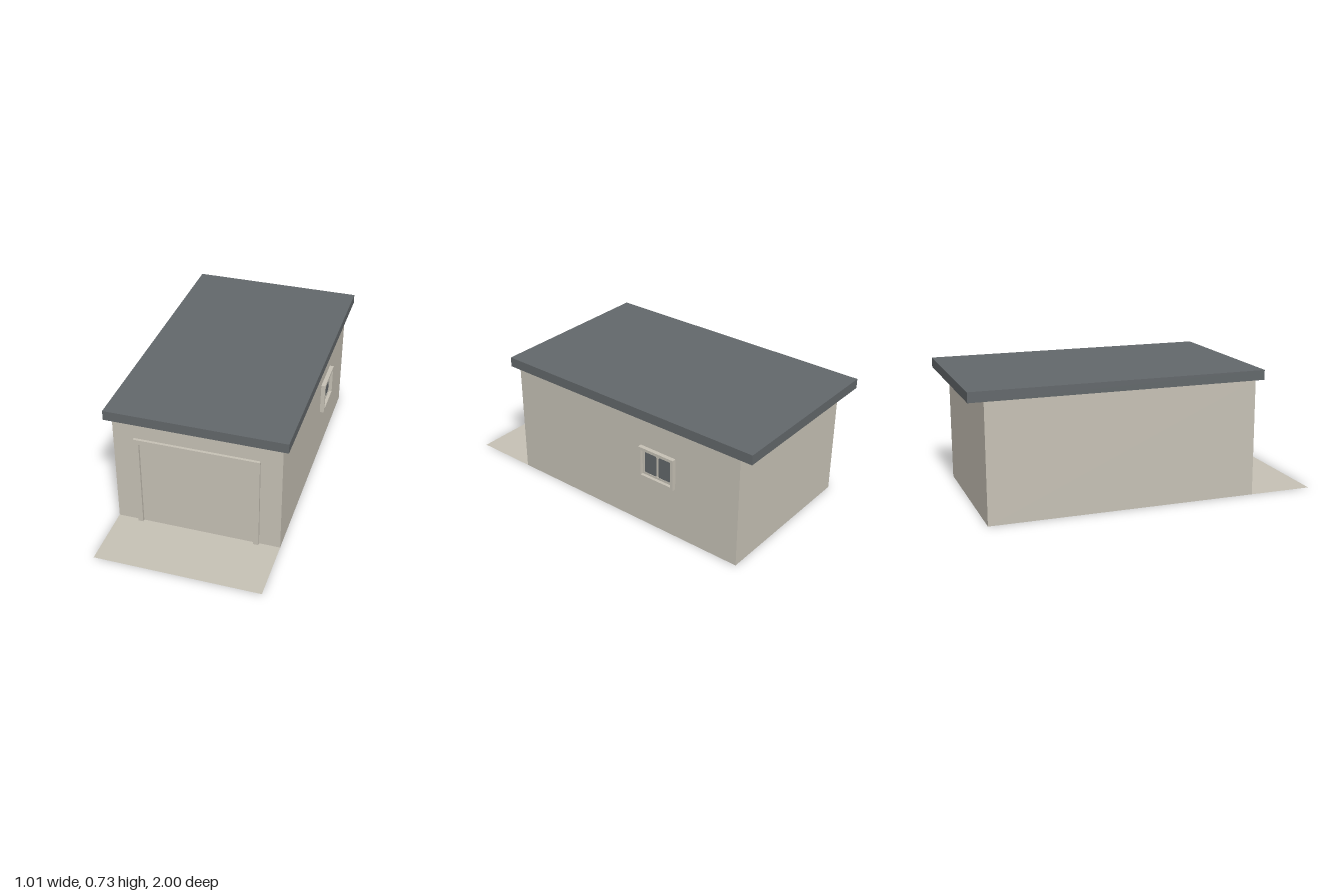
import * as THREE from 'three';

const stone = new THREE.MeshStandardMaterial({ color: 0xc7c2b6, side: THREE.DoubleSide });
stone.name = 'warm stone';
const slate = new THREE.MeshStandardMaterial({ color: 0x63686b, side: THREE.DoubleSide });
slate.name = 'slate grey';

const W = 0.4715, H = 0.675, FRONT = 0.63, BACK = -0.91;

function add(parent, name, geometry, material, x = 0, y = 0, z = 0) {
  const mesh = new THREE.Mesh(geometry, material);
  mesh.name = name;
  mesh.position.set(x, y, z);
  parent.add(mesh);
  return mesh;
}

// Rectangular ring in the XY plane, extruded along +z
function ring(w, h, border, depth) {
  const rect = (T, a, b) => new T([[-a, -b], [a, -b], [a, b], [-a, b]].map(p => new THREE.Vector2(...p)));
  const shape = rect(THREE.Shape, w / 2, h / 2);
  shape.holes.push(rect(THREE.Path, w / 2 - border, h / 2 - border));
  return new THREE.ExtrudeGeometry(shape, { depth, bevelEnabled: false });
}

// Window pane with clipped corners
function pane(w, h, c) {
  const a = w / 2, b = h / 2;
  return new THREE.ShapeGeometry(new THREE.Shape([
    [-a + c, -b], [a - c, -b], [a, -b + c], [a, b - c],
    [a - c, b], [-a + c, b], [-a, b - c], [-a, -b + c],
  ].map(p => new THREE.Vector2(...p))));
}

export function createModel() {
  const garage = new THREE.Group();
  garage.name = 'garage';

  // Thin walls, open underneath
  const depth = FRONT - BACK, midZ = (FRONT + BACK) / 2;
  add(garage, 'frontWall', new THREE.PlaneGeometry(2 * W, H), stone, 0, H / 2, FRONT);
  add(garage, 'backWall', new THREE.PlaneGeometry(2 * W, H), stone, 0, H / 2, BACK).rotation.y = Math.PI;
  for (const s of [-1, 1]) {
    add(garage, s > 0 ? 'leftWall' : 'rightWall', new THREE.PlaneGeometry(depth, H), stone, s * W, H / 2, midZ)
      .rotation.y = s * Math.PI / 2;
  }

  // Overhanging flat roof
  add(garage, 'roof', new THREE.BoxGeometry(1.014, 0.056, 1.665), slate, 0, 0.703, -0.1675);

  // Driveway sheet
  add(garage, 'driveway', new THREE.PlaneGeometry(2 * W, 1 - FRONT), stone, 0, 0, (1 + FRONT) / 2)
    .rotation.x = -Math.PI / 2;

  // Garage door surround
  const surround = new THREE.Shape([
    [-0.352, 0], [-0.322, 0], [-0.322, 0.536], [0.322, 0.536],
    [0.322, 0], [0.352, 0], [0.352, 0.565], [-0.352, 0.565],
  ].map(p => new THREE.Vector2(...p)));
  add(garage, 'doorSurround', new THREE.ExtrudeGeometry(surround, { depth: 0.016, bevelEnabled: false }),
    stone, 0, 0, FRONT);

  // Side window, built facing +z and turned to face +x
  const sideWindow = new THREE.Group();
  sideWindow.name = 'sideWindow';
  sideWindow.position.set(W, 0.4, -0.388);
  sideWindow.rotation.y = Math.PI / 2;
  add(sideWindow, 'windowFrame', ring(0.235, 0.188, 0.017, 0.024), stone);
  add(sideWindow, 'windowSash', ring(0.201, 0.154, 0.013, 0.006), stone);
  for (const s of [-1, 1]) {
    add(sideWindow, 'windowPane', pane(0.09, 0.128, 0.008), slate, s * 0.051, -0.003, 0.004);
  }
  garage.add(sideWindow);

  return garage;
}
